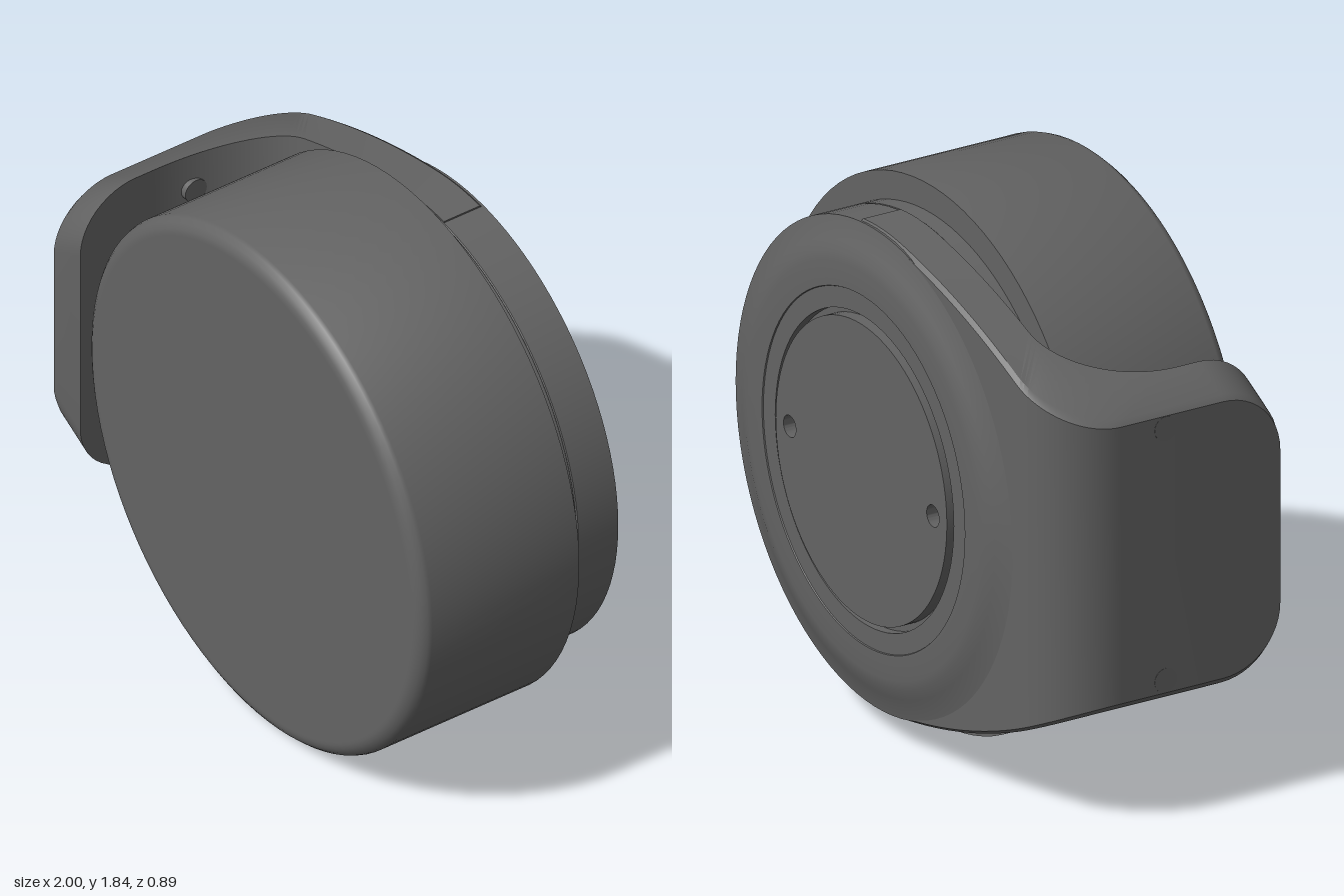
import * as THREE from 'three';
import { toCreasedNormals } from 'three/addons/utils/BufferGeometryUtils.js';

const CX = 0.08, CY = 0.92; // axis of the round parts
const R = 0.825, HOOK_R = 0.83; // radius of the back plate and of the hook round it
const darkGrey = new THREE.MeshStandardMaterial({ color: 0x636363 });

function mesh(name, geometry) {
  const m = new THREE.Mesh(geometry, darkGrey);
  m.name = name;
  return m;
}

// Turned part about the z axis; profile is [radius, z] from back to front
function turned(name, profile) {
  const g = new THREE.LatheGeometry(profile.map(p => new THREE.Vector2(...p)), 96);
  g.rotateX(Math.PI / 2);
  const m = mesh(name, toCreasedNormals(g, 0.5));
  m.position.set(CX, CY, 0);
  return m;
}

// Half height of the hooked plate at a given x: round, then tapering
function halfHeight(x) {
  if (x > -0.05) return Math.sqrt(HOOK_R ** 2 - (x - CX) ** 2);
  const a = [-0.05, 0.82], b = [-0.54, 0.742], c = [-1, 0.49];
  const A = a[0] - 2 * b[0] + c[0], B = 2 * (b[0] - a[0]), C = a[0] - x;
  const t = Math.min(1, 2 * C / (-B + Math.sqrt(B * B - 4 * A * C)));
  return a[1] * (1 - t) ** 2 + 2 * b[1] * t * (1 - t) + c[1] * t * t;
}

// Plate that runs along the back, bends round the side and ends in a rounded tab
function hookGeometry() {
  const END = 0.445, RC = 0.215, lerp = THREE.MathUtils.lerp;
  const stations = []; // outer x, z and inner x, z
  for (let i = 0; i < 24; i++) { // flat back
    const t = i / 24;
    stations.push([lerp(0.17, -0.76, t), -0.396, lerp(0.17, -0.59, t), -0.24]);
  }
  for (let i = 0; i <= 20; i++) { // bend
    const a = i / 20 * Math.PI / 2, s = Math.sin(a), c = Math.cos(a);
    stations.push([-0.76 - 0.24 * s, -0.15 - 0.246 * c, -0.59 - 0.265 * s, 0.15 - 0.39 * c]);
  }
  stations.push([-1, END - RC, -0.855, END - RC]);
  for (let i = 1; i <= 12; i++) { // tab with rounded corners
    const z = END - RC + RC * Math.sin(i / 12 * Math.PI / 2);
    stations.push([-1, z, -0.855, z]);
  }
  const trim = z => {
    const d = Math.max(0, z - END + RC);
    return RC - Math.sqrt(Math.max(0, RC * RC - d * d));
  };
  // Cross-sections with a small chamfer along the outer edges
  const rings = stations.map(([ox, oz, ix, iz]) => {
    const wo = halfHeight(ox) - trim(oz), wi = halfHeight(ix) - trim(iz);
    const mx = lerp(ox, ix, 0.1), mz = lerp(oz, iz, 0.1), wm = lerp(wo, wi, 0.1);
    return [[ix, wi, iz], [mx, wm, mz], [ox, wo - 0.012, oz],
      [ox, 0.012 - wo, oz], [mx, -wm, mz], [ix, -wi, iz]];
  });
  const pos = [];
  const tri = (...pts) => pts.forEach(p => pos.push(p[0], p[1] + CY, p[2]));
  for (let i = 0; i + 1 < rings.length; i++) {
    for (let j = 0; j < 6; j++) {
      const k = (j + 1) % 6, p = rings[i], q = rings[i + 1];
      tri(p[j], p[k], q[k]);
      tri(p[j], q[k], q[j]);
    }
  }
  const start = rings[0], end = rings[rings.length - 1];
  for (let j = 1; j < 5; j++) {
    tri(start[0], start[j + 1], start[j]);
    tri(end[0], end[j], end[j + 1]);
  }
  const g = new THREE.BufferGeometry();
  g.setAttribute('position', new THREE.Float32BufferAttribute(pos, 3));
  return toCreasedNormals(g, 0.5);
}

export function createModel() {
  const model = new THREE.Group();
  model.name = 'roundHousing';

  // Large front drum with a softened front edge
  model.add(turned('drum', [[0, -0.175], [0.92, -0.175], [0.92, 0.397], [0.915, 0.411],
    [0.902, 0.425], [0.885, 0.435], [0.87, 0.438], [0.86, 0.438], [0, 0.438]]));

  // Back plate: recess for the cover, inset ring, soft raised rim and a seam
  model.add(turned('backPlate', [[0, -0.4], [0.53, -0.4], [0.53, -0.433], [0.6, -0.433],
    [0.602, -0.437], [0.685, -0.437], [0.715, -0.432], [0.75, -0.419], [0.785, -0.405],
    [R, -0.395], [R, -0.24], [0.821, -0.237], [R, -0.234], [R, -0.17]]));

  model.add(mesh('sideHook', hookGeometry()));

  // Round cover with two key holes
  const disc = new THREE.Shape().absarc(0, 0, 0.508, 0, Math.PI * 2);
  for (const s of [-1, 1]) {
    disc.holes.push(new THREE.Path().absarc(s * 0.425, 0, 0.037, 0, Math.PI * 2, true));
  }
  const coverGeometry = new THREE.ExtrudeGeometry(disc, { depth: 0.045, bevelEnabled: false, curveSegments: 48 });
  const cover = mesh('cover', toCreasedNormals(coverGeometry, 0.5));
  cover.position.set(CX, CY, -0.445);
  model.add(cover);

  // Pins through the hook
  for (const s of [-1, 1]) {
    const pin = mesh('hookPin', new THREE.CylinderGeometry(0.042, 0.042, 0.176, 24));
    pin.rotation.z = Math.PI / 2;
    pin.position.set(-0.913, CY + s * 0.435, 0.015);
    model.add(pin);
  }
  return model;
}
